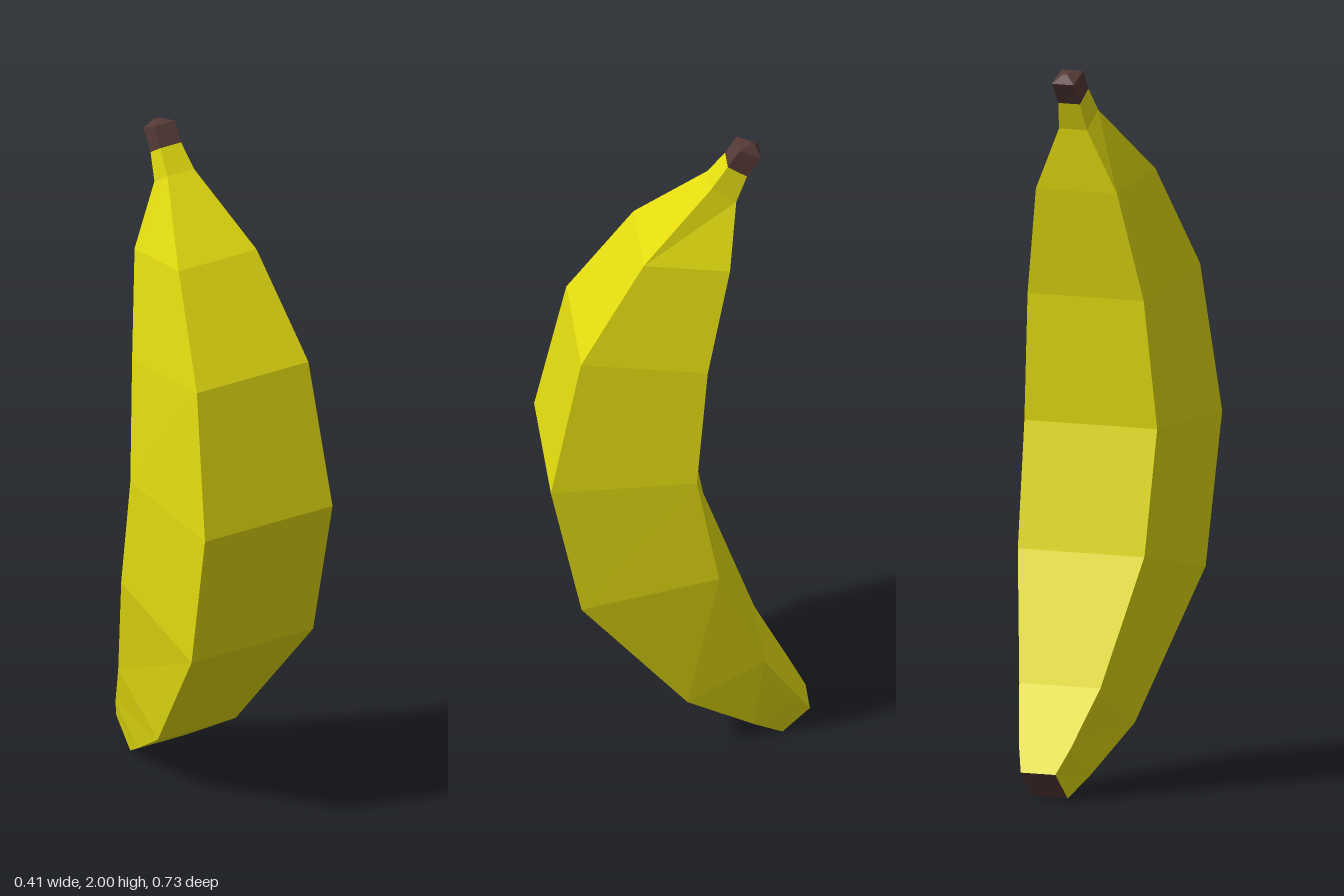
import * as THREE from 'three';

// Four-sided cross-sections: [front z, front y, back z, back y, min x, max x]
const PEEL = [
  [-0.29, 0.0, -0.366, 0.075, -0.054, 0.052],
  [-0.207, 0.053, -0.326, 0.143, -0.08, 0.077],
  [-0.02, 0.18, -0.233, 0.302, -0.126, 0.122],
  [0.28, 0.58, -0.1, 0.653, -0.195, 0.192],
  [0.366, 1.0, -0.037, 1.0, -0.203, 0.203],
  [0.28, 1.417, -0.07, 1.358, -0.178, 0.177],
  [0.1, 1.7, -0.138, 1.66, -0.13, 0.118],
  [-0.095, 1.883, -0.165, 1.835, -0.051, 0.034],
  [-0.143, 1.947, -0.196, 1.91, -0.045, 0.021],
];
const STEM = [
  PEEL[PEEL.length - 1],
  [-0.175, 2.0, -0.235, 1.968, -0.045, 0.021],
  [-0.211, 2.0, -0.223, 1.994, -0.019, -0.006], // small raised centre
];

// Corners of one section: front left, front right, back right, back left
const corners = ([fz, fy, bz, by, x0, x1]) => [
  [x1, fy, fz], [x0, fy, fz], [x0, by, bz], [x1, by, bz],
];

// Joins the sections with flat quads, optionally closing the top
function loft(sections, capTop = false) {
  const rings = sections.map(corners);
  const pos = [];
  const quad = (a, b, c, d) => [a, b, c, a, c, d].forEach((p) => pos.push(...p));
  for (let i = 0; i < rings.length - 1; i++) {
    for (let j = 0; j < 4; j++) {
      const k = (j + 1) % 4;
      quad(rings[i][k], rings[i][j], rings[i + 1][j], rings[i + 1][k]);
    }
  }
  if (capTop) {
    const [a, b, c, d] = rings[rings.length - 1];
    quad(d, c, b, a);
  }
  return toGeometry(pos);
}

// Downward-facing quad that closes the blossom end
function endCap(section) {
  const [a, b, c, d] = corners(section);
  return toGeometry([a, b, c, a, c, d].flat());
}

function toGeometry(pos) {
  const geometry = new THREE.BufferGeometry();
  geometry.setAttribute('position', new THREE.Float32BufferAttribute(pos, 3));
  geometry.computeVertexNormals();
  return geometry;
}

export function createModel() {
  const group = new THREE.Group();
  group.name = 'banana';
  const yellow = new THREE.MeshStandardMaterial({ color: 0xe3dc10, flatShading: true });
  const brown = new THREE.MeshStandardMaterial({ color: 0x553a36, flatShading: true });

  const add = (name, geometry, material) => {
    const mesh = new THREE.Mesh(geometry, material);
    mesh.name = name;
    group.add(mesh);
  };
  add('peel', loft(PEEL), yellow);
  add('stem', loft(STEM, true), brown);
  add('blossomEnd', endCap(PEEL[0]), brown);
  return group;
}
